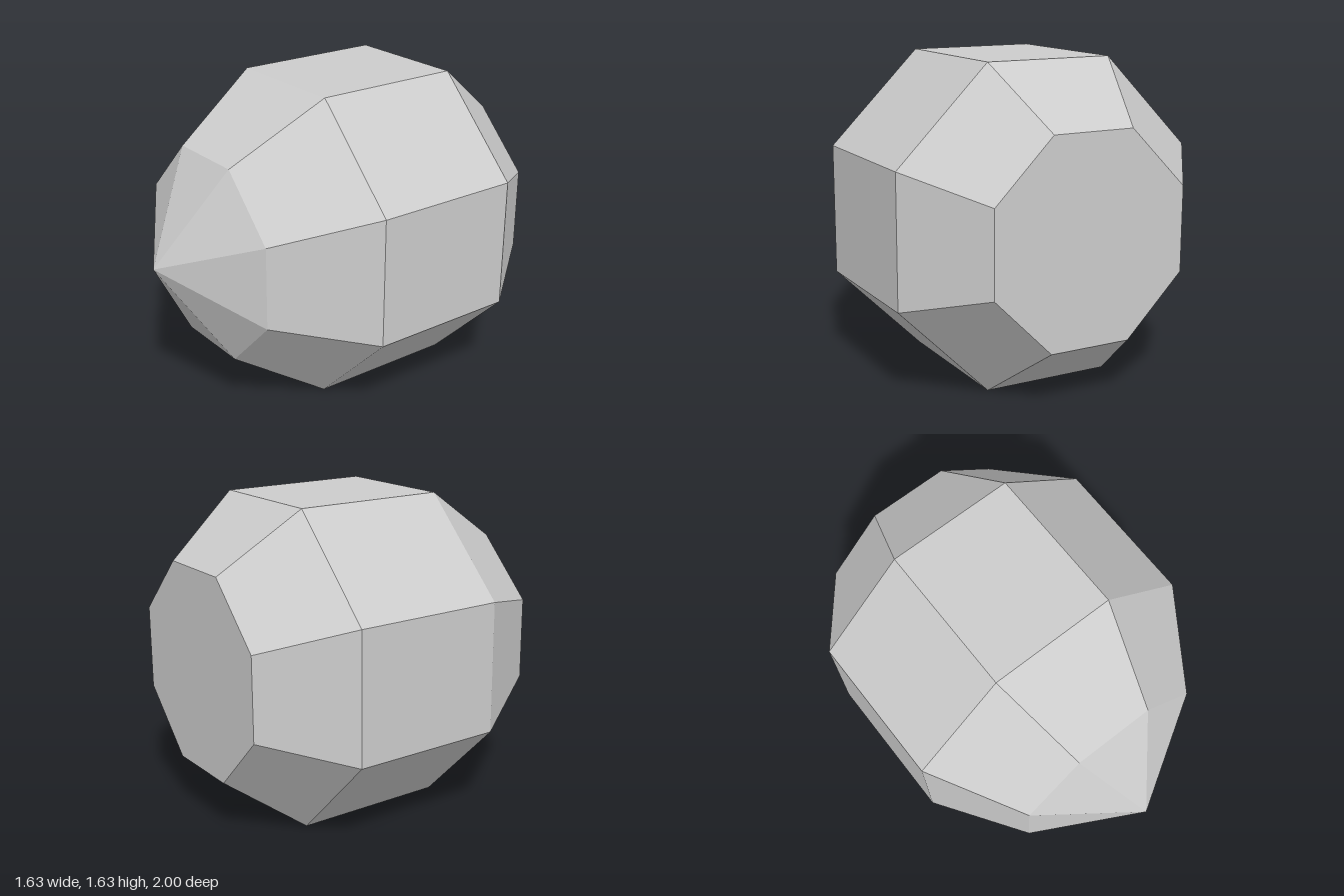
import * as THREE from 'three';

const SIDES = 8;
const TURN = Math.PI / SIDES; // puts flat sides on top, bottom, left and right
const WIDE = 0.88, NARROW = 0.56;
const CENTRE_Y = WIDE * Math.cos(TURN);

export function createModel() {
  const group = new THREE.Group();
  group.name = 'octagonalCapsule';
  const grey = new THREE.MeshStandardMaterial({ color: 0xcccccc, flatShading: true });
  grey.name = 'lightGrey';

  function add(name, geometry) {
    const flat = geometry.toNonIndexed();
    flat.computeVertexNormals();
    const mesh = new THREE.Mesh(flat, grey);
    mesh.name = name;
    mesh.position.y = CENTRE_Y;
    group.add(mesh);
  }

  // Open octagonal bands along z: name, back z, back radius, front z, front radius
  const bands = [
    ['backTaper', -1, NARROW, -0.6, WIDE],
    ['body', -0.6, WIDE, 0.2, WIDE],
    ['frontTaper', 0.2, WIDE, 0.68, NARROW],
    ['noseCone', 0.68, NARROW, 1, 0],
  ];
  for (const [name, z0, r0, z1, r1] of bands) {
    const band = new THREE.CylinderGeometry(r1, r0, z1 - z0, SIDES, 1, true, TURN);
    band.rotateX(Math.PI / 2).translate(0, 0, (z0 + z1) / 2);
    add(name, band);
  }

  // Flat back face
  add('backFace', new THREE.CircleGeometry(NARROW, SIDES, TURN).rotateY(Math.PI).translate(0, 0, -1));

  return group;
}
